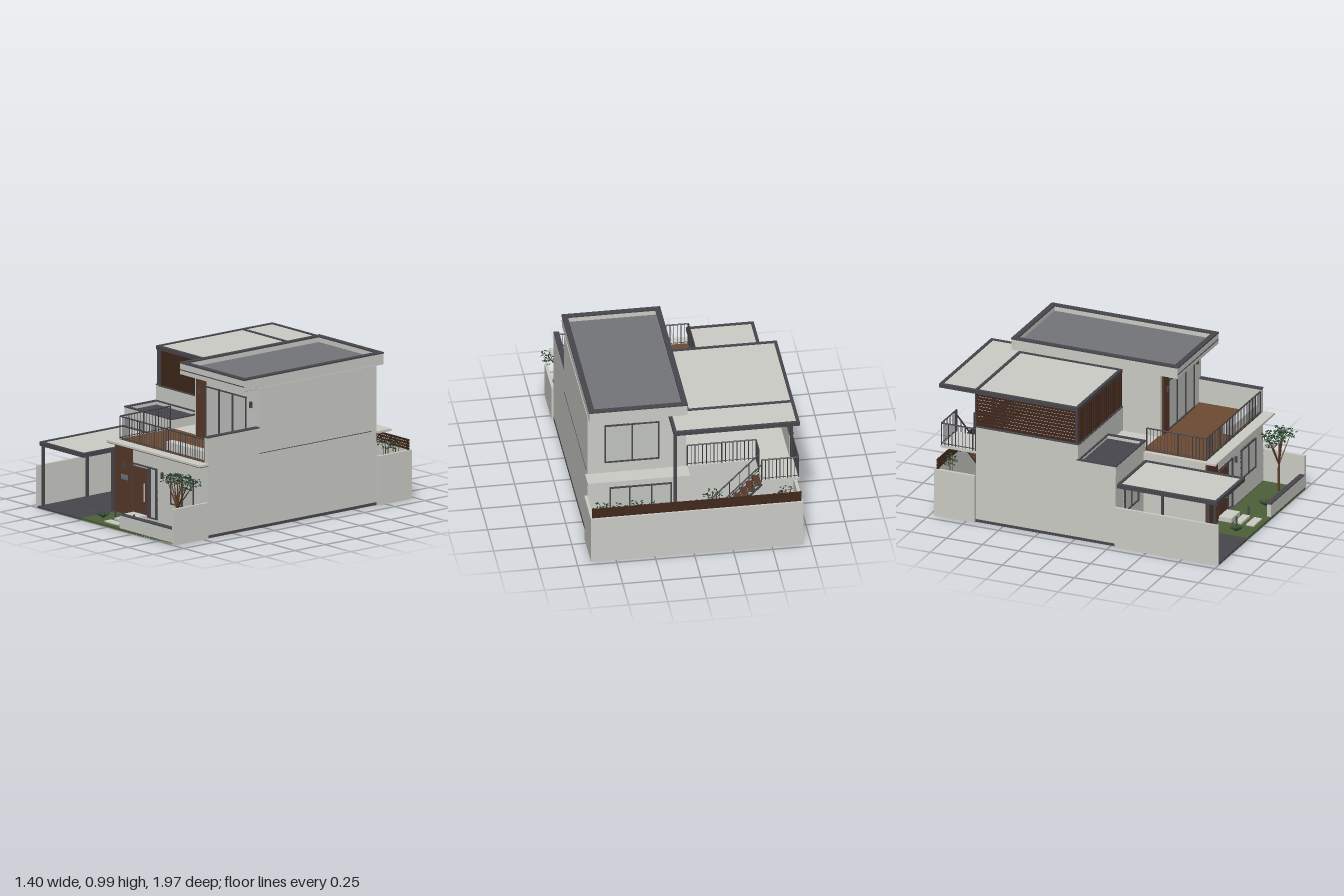
import * as THREE from 'three';
import { mergeGeometries } from 'three/addons/utils/BufferGeometryUtils.js';

const mat = (name, color, side = THREE.FrontSide) => {
  const m = new THREE.MeshStandardMaterial({ color, side });
  m.name = name;
  return m;
};

export function createModel() {
  const root = new THREE.Group();
  root.name = 'house';
  const wall = mat('offWhitePlaster', 0xcccdc7), dark = mat('charcoalMetal', 0x48474d);
  const roofGrey = mat('roofGrey', 0x73757a), deck = mat('deckBrown', 0x6f4b32);
  const timber = mat('timberPanel', 0x58392b), slat = mat('darkSlat', 0x40271b);
  const lawn = mat('lawnGreen', 0x4c6038), leaf = mat('leafGreen', 0x27432c, THREE.DoubleSide);
  const bark = mat('bark', 0x60402a), glass = mat('paleGlass', 0xc2c4c0);

  // Helpers: geometry from extents, mesh, bar between two points
  const bg = (x0, x1, y0, y1, z0, z1) => new THREE.BoxGeometry(x1 - x0, y1 - y0, z1 - z0)
    .translate((x0 + x1) / 2, (y0 + y1) / 2, (z0 + z1) / 2);
  const add = (name, m, geos) => {
    const mesh = new THREE.Mesh(Array.isArray(geos) ? mergeGeometries(geos) : geos, m);
    mesh.name = name;
    root.add(mesh);
    return mesh;
  };
  const box = (name, m, ...e) => add(name, m, bg(...e));
  const V = (x, y, z) => new THREE.Vector3(x, y, z);
  const bar = (a, b, r0, r1 = r0, n = 5) => {
    const d = b.clone().sub(a);
    const q = new THREE.Quaternion().setFromUnitVectors(V(0, 1, 0), d.clone().normalize());
    return new THREE.CylinderGeometry(r1, r0, d.length(), n).applyQuaternion(q)
      .translate((a.x + b.x) / 2, (a.y + b.y) / 2, (a.z + b.z) / 2);
  };
  // Rectangular ring lying flat
  const ring = (x0, x1, y0, y1, z0, z1, w) => [
    bg(x0, x1, y0, y1, z0, z0 + w), bg(x0, x1, y0, y1, z1 - w, z1),
    bg(x0, x0 + w, y0, y1, z0 + w, z1 - w), bg(x1 - w, x1, y0, y1, z0 + w, z1 - w)];
  // Framed glazing on a z plane; dir is the way it faces
  const glazing = (name, x0, x1, y0, y1, z, dir, splits) => {
    const zs = d => dir > 0 ? [z, z + d] : [z - d, z];
    const t = 0.008, f = zs(0.012);
    box(name + 'Glass', glass, x0, x1, y0, y1, ...zs(0.004));
    add(name + 'Frame', dark, [bg(x0, x1, y0, y0 + t, ...f), bg(x0, x1, y1 - t, y1, ...f),
      ...[x0 + t / 2, x1 - t / 2, ...splits].map(x => bg(x - t / 2, x + t / 2, y0, y1, ...f))]);
  };
  // Balustrade between two floor points
  const railing = (name, a, b, h = 0.15, step = 0.024) => {
    const up = (p, d) => V(p.x, p.y + d, p.z), n = Math.max(2, Math.round(a.distanceTo(b) / step));
    const parts = [bar(up(a, h), up(b, h), 0.005), bar(up(a, 0.012), up(b, 0.012), 0.003)];
    for (let i = 0; i <= n; i++) {
      const p = a.clone().lerp(b, i / n);
      parts.push(bar(p, up(p, h), i % 9 && i < n ? 0.0025 : 0.0045, undefined, 4));
    }
    add(name, dark, parts);
  };

  // Ground: slab, lawns, drive, rear deck
  box('groundSlab', dark, -0.68, 0.64, 0, 0.014, -0.69, 0.72);
  box('driveway', dark, -0.685, -0.25, 0, 0.012, 0.28, 1);
  box('frontLawn', lawn, -0.25, 0.64, 0.001, 0.016, 0.72, 1);
  box('rearLawn', lawn, -0.68, 0.12, 0.001, 0.016, -0.95, -0.69);
  box('rearDeck', deck, 0.12, 0.64, 0.001, 0.018, -0.95, -0.69);
  add('pathSlabs', wall, [[0.72, 0.81, 0.045], [0.83, 0.88, 0.03], [0.91, 0.965, 0.024]]
    .map(([a, b, h]) => bg(-0.07, 0.06, 0.01, h, a, b)));

  // Yard walls and slatted rear fence
  box('rearWall', wall, -0.7, 0.66, 0, 0.32, -0.97, -0.95);
  add('rearSideWalls', wall, [bg(-0.7, -0.68, 0, 0.32, -0.95, -0.69), bg(0.64, 0.66, 0, 0.32, -0.95, -0.69)]);
  box('leftYardWall', wall, -0.7, -0.683, 0, 0.275, 0.28, 1);
  box('rightYardWall', wall, 0.635, 0.655, 0, 0.235, 0.715, 1);
  box('lowFrontWall', wall, 0.12, 0.635, 0, 0.1, 0.97, 1);
  box('lowFrontWallCap', dark, 0.118, 0.637, 0.1, 0.107, 0.966, 1);
  const fence = [];
  for (let i = 0; i < 4; i++) fence.push(bg(-0.69, 0.65, 0.32 + i * 0.018, 0.333 + i * 0.018, -0.958, -0.95));
  for (let i = 0; i < 9; i++) fence.push(bg(-0.69 + i * 0.166, -0.68 + i * 0.166, 0.31, 0.387, -0.95, -0.943));
  add('rearFence', slat, fence);

  // Ground storey
  box('frontBlock', wall, -0.25, 0.64, 0.014, 0.48, -0.69, 0.71);
  box('garageBlock', wall, -0.68, -0.25, 0.014, 0.48, -0.69, 0.28);
  box('garageSkirting', timber, -0.675, -0.25, 0.014, 0.03, 0.28, 0.286);
  box('entryPanel', timber, -0.25, -0.09, 0.014, 0.458, 0.71, 0.725);
  box('plaque', roofGrey, -0.185, -0.122, 0.24, 0.272, 0.725, 0.73);
  glazing('garageWindow', -0.555, -0.34, 0.185, 0.345, 0.28, 1, [-0.447]);
  glazing('frontWindow', 0.285, 0.515, 0.158, 0.36, 0.71, 1, [0.4]);
  glazing('entry', -0.088, 0.157, 0.03, 0.362, 0.71, 1, [0.07, 0.085, 0.145]);
  box('frontDoor', timber, -0.077, 0.064, 0.03, 0.345, 0.712, 0.722);
  box('doorHandle', glass, 0.038, 0.044, 0.13, 0.25, 0.722, 0.73);
  glazing('rearDoor', 0.1, 0.5, 0.02, 0.37, -0.69, -1, [0.23, 0.37]);
  box('sideFloorLine', dark, 0.64, 0.642, 0.484, 0.488, -0.65, 0.28);
  add('plinthLines', dark, [bg(0.64, 0.643, 0, 0.018, -0.69, 0.71), bg(-0.683, -0.68, 0, 0.018, -0.69, 0.28)]);

  // Ledges
  box('frontLedge', wall, -0.26, 0.655, 0.474, 0.487, 0.71, 0.785);
  box('frontLedgeSoffit', timber, -0.255, 0.65, 0.469, 0.474, 0.71, 0.78);
  box('rearLedge', wall, 0, 0.655, 0.468, 0.482, -0.805, -0.69);

  // Carport
  add('carportFrame', dark, ring(-0.683, -0.25, 0.403, 0.43, 0.29, 0.985, 0.02));
  box('carportPanel', wall, -0.67, -0.26, 0.41, 0.424, 0.3, 0.97);
  add('carportPosts', dark, [[-0.667, 0.965], [-0.667, 0.6], [-0.257, 0.735]]
    .map(([x, z]) => bg(x - 0.008, x + 0.008, 0, 0.41, z - 0.008, z + 0.008)));

  // Low flat roof above the garage
  box('lowRoof', dark, -0.67, -0.23, 0.48, 0.525, 0.02, 0.27);
  add('lowRoofParapet', wall, ring(-0.68, -0.22, 0.48, 0.545, 0.01, 0.282, 0.016));
  add('lowRoofCap', dark, ring(-0.683, -0.218, 0.545, 0.553, 0.01, 0.285, 0.02));

  // Front terrace
  box('terraceFloor', wall, -0.22, 0, 0.48, 0.487, 0.02, 0.27);
  box('terraceDeck', deck, -0.22, 0.61, 0.48, 0.49, 0.27, 0.705);
  box('terraceSideWall', wall, 0.61, 0.64, 0.48, 0.65, 0.28, 0.71);
  box('terraceSideCap', dark, 0.607, 0.642, 0.65, 0.657, 0.28, 0.712);
  box('terraceBench', wall, 0.21, 0.6, 0.49, 0.55, 0.63, 0.69);
  railing('frontRailing', V(-0.222, 0.487, 0.705), V(0.607, 0.487, 0.705));
  railing('sideRailing', V(-0.222, 0.487, 0.29), V(-0.222, 0.487, 0.705));

  // Upper room
  box('upperRoom', wall, 0.01, 0.64, 0.48, 0.91, -0.69, 0.28);
  box('upperPanel', timber, 0.037, 0.12, 0.49, 0.903, 0.28, 0.295);
  glazing('terraceDoors', 0.12, 0.52, 0.49, 0.833, 0.28, 1, [0.253, 0.387]);
  glazing('rearUpperWindow', 0.18, 0.53, 0.56, 0.84, -0.69, -1, [0.355]);
  add('wallLamps', dark, [[-0.155, 0.33, 0.735], [0.205, 0.33, 0.72], [0.077, 0.79, 0.305], [0.565, 0.79, 0.29]]
    .map(([x, y, z]) => bg(x - 0.006, x + 0.006, y - 0.02, y + 0.02, z - 0.012, z + 0.006)));

  // Main roof
  box('roofDeck', roofGrey, 0.03, 0.615, 0.907, 0.945, -0.73, 0.38);
  add('roofFascia', wall, ring(0.008, 0.636, 0.905, 0.976, -0.752, 0.402, 0.03));
  add('roofCap', dark, ring(0.006, 0.638, 0.976, 0.985, -0.755, 0.405, 0.036));
  box('roofFrontLine', dark, 0.008, 0.636, 0.932, 0.938, 0.402, 0.404);
  box('roofSoffit', timber, 0.02, 0.625, 0.901, 0.905, 0.28, 0.39);

  // Covered rear terrace: parapets, slat screens, flat canopy
  add('terraceParapet', wall, [bg(-0.68, -0.655, 0.48, 0.65, -0.69, 0.02), bg(-0.655, 0.01, 0.48, 0.645, 0, 0.02)]);
  add('parapetCap', dark, [bg(-0.682, -0.653, 0.65, 0.656, -0.69, 0.022), bg(-0.653, 0.01, 0.645, 0.65, -0.002, 0.022)]);
  const screen = [];
  for (let i = 0; i < 23; i++) screen.push(bg(-0.64 + i * 0.029, -0.63 + i * 0.029, 0.65, 0.885, -0.008, 0.014));
  for (let i = 0; i < 10; i++) screen.push(bg(-0.678, -0.668, 0.662 + i * 0.0225, 0.678 + i * 0.0225, -0.69, 0));
  add('slatScreens', slat, screen);
  add('canopyFrame', dark, [...ring(-0.682, 0.01, 0.88, 0.906, -0.7, 0.018, 0.02),
    ...ring(-0.682, 0.125, 0.88, 0.906, -0.945, -0.68, 0.02)]);
  add('canopyPanels', wall, [bg(-0.67, 0, 0.885, 0.9, -0.685, 0.005), bg(-0.67, 0.115, 0.885, 0.9, -0.935, -0.695)]);
  add('canopyPosts', dark, [[-0.667, 0.005, 0.65], [-0.667, -0.69, 0.48], [0.113, -0.925, 0.01]]
    .map(([x, z, y]) => bg(x - 0.009, x + 0.009, y, 0.885, z - 0.009, z + 0.009)));

  // Rear landing and stairs
  box('landing', wall, -0.68, -0.44, 0.468, 0.485, -0.935, -0.69);
  railing('terraceRearRailing', V(-0.44, 0.485, -0.69), V(0, 0.485, -0.69));
  railing('landingRearRailing', V(-0.675, 0.485, -0.93), V(-0.44, 0.485, -0.93));
  railing('landingSideRailing', V(-0.675, 0.485, -0.93), V(-0.675, 0.485, -0.69));
  railing('landingInnerRailing', V(-0.44, 0.485, -0.81), V(-0.44, 0.485, -0.69));
  const treads = [];
  for (let i = 0; i < 11; i++) {
    const x = -0.44 + i * 0.04, y = 0.44 - i * 0.04;
    treads.push(bg(x, x + 0.045, y, y + 0.008, -0.93, -0.81));
  }
  add('stairTreads', timber, treads);
  for (const z of [-0.93, -0.81]) {
    add('stairStringer', dark, bar(V(-0.44, 0.45, z), V(0, 0.015, z), 0.008, 0.008, 4));
    railing('stairRailing', V(-0.44, 0.47, z), V(0, 0.03, z), 0.13, 0.09);
  }

  // Garden lights
  add('gardenLights', dark, [-0.09, 0.092].map(x => bg(x - 0.005, x + 0.005, 0.01, 0.075, 0.85, 0.86)));

  // Planting: seeded scatter of small pointed leaves and thin stems
  let seed = 7;
  const rnd = () => (seed = (seed * 16807) % 2147483647) / 2147483647;
  const leaves = [], wood = [];
  const leafAt = (p, s) => leaves.push(new THREE.CircleGeometry(s, 4).scale(1, 0.5, 1)
    .rotateX(rnd() * 6.3).rotateY(rnd() * 6.3).rotateZ(rnd() - 0.5).translate(p.x, p.y, p.z));
  const cloud = (c, rx, ry, rz, n, s) => {
    for (let i = 0; i < n; i++) {
      const d = V(rnd() - 0.5, rnd() - 0.5, rnd() - 0.5).normalize().multiplyScalar(Math.cbrt(rnd()));
      leafAt(V(c.x + d.x * rx, c.y + d.y * ry, c.z + d.z * rz), s);
    }
  };
  // Front tree
  const fork = V(0.53, 0.2, 0.87);
  wood.push(bar(V(0.525, 0.01, 0.87), fork, 0.009, 0.008, 6));
  for (let i = 0; i < 9; i++) {
    const a = i * 2.4, r = 0.04 + 0.09 * ((i % 3) / 2);
    const tip = V(0.535 + Math.cos(a) * r, 0.4 - r * 0.35 + rnd() * 0.03, 0.865 + Math.sin(a) * r * 0.7);
    wood.push(bar(fork, tip, 0.006, 0.002));
    cloud(tip, 0.05, 0.035, 0.04, 34, 0.011);
  }
  // Low front tufts
  for (const [x, z] of [[-0.17, 0.89], [0.28, 0.89]]) for (let i = 0; i < 12; i++) {
    const a = i * Math.PI / 6;
    leaves.push(bar(V(x, 0.015, z), V(x + Math.cos(a) * 0.045, 0.045, z + Math.sin(a) * 0.045), 0.004, 0.001, 3));
  }
  // Rear shrubs
  for (const [x, z, top] of [[0.58, -0.9, 0.37], [0.47, -0.91, 0.36], [0.35, -0.9, 0.37], [0.23, -0.91, 0.36],
    [-0.13, -0.89, 0.4], [-0.6, -0.9, 0.38]]) {
    for (const k of [-0.03, 0, 0.03]) wood.push(bar(V(x, 0.01, z), V(x + k, top, z), 0.004, 0.002));
    cloud(V(x, top - 0.02, z), 0.065, 0.04, 0.05, 45, 0.011);
  }
  add('foliage', leaf, leaves);
  add('treeBranches', bark, wood);
  return root;
}
